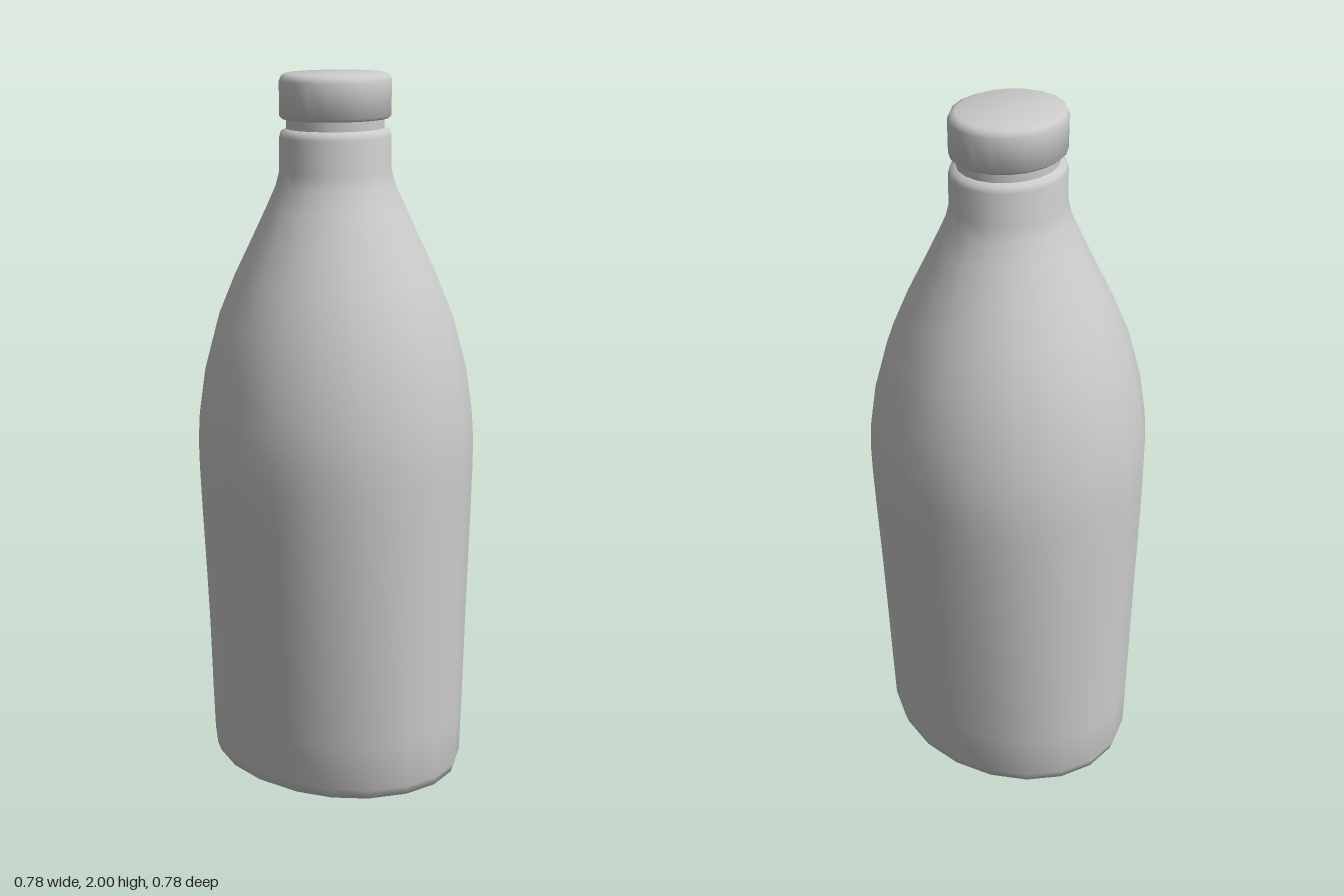
import * as THREE from 'three';
import { toCreasedNormals } from 'three/addons/utils/BufferGeometryUtils.js';

const SIDES = 20;

// Lathe with an oval section: each row is [height, half width x, half depth z]
function ovalLathe(rows) {
  const geo = new THREE.LatheGeometry(rows.map(([y, rx]) => new THREE.Vector2(rx, y)), SIDES);
  const pos = geo.attributes.position;
  for (let i = 0; i < pos.count; i++) {
    const [, rx, rz] = rows[i % rows.length];
    if (rx > 0) pos.setZ(i, pos.getZ(i) * rz / rx);
  }
  return toCreasedNormals(geo, 0.95);
}

export function createModel() {
  const bottle = new THREE.Group();
  bottle.name = 'bottle';
  const material = new THREE.MeshStandardMaterial({ color: 0xcccccc });
  const add = (name, rows) => {
    const mesh = new THREE.Mesh(ovalLathe(rows), material);
    mesh.name = name;
    bottle.add(mesh);
  };

  // Body: slightly domed base, tapering sides, sloping shoulder and neck lip
  add('body', [
    [0.005, 0, 0], [0.02, 0.25, 0.305], [0.028, 0.29, 0.35], [0.043, 0.314, 0.38], [0.07, 0.323, 0.389],
    [0.2, 0.332, 0.39], [0.4, 0.345, 0.39], [0.6, 0.359, 0.39], [0.8, 0.375, 0.39],
    [0.92, 0.384, 0.389], [1.0, 0.388, 0.387], [1.08, 0.386, 0.379],
    [1.2, 0.37, 0.36], [1.34, 0.334, 0.321], [1.45, 0.289, 0.275],
    [1.55, 0.242, 0.226], [1.64, 0.2, 0.183], [1.7, 0.172, 0.157], [1.74, 0.162, 0.146],
    [1.83, 0.162, 0.145], [1.845, 0.158, 0.141], [1.852, 0.142, 0.126], [1.89, 0.142, 0.126],
  ]);

  // Cap: closed below, with rounded rims
  add('cap', [
    [1.878, 0, 0], [1.878, 0.152, 0.135], [1.886, 0.161, 0.144],
    [1.978, 0.162, 0.145], [1.992, 0.156, 0.139], [1.998, 0.142, 0.126], [2, 0, 0],
  ]);

  return bottle;
}
